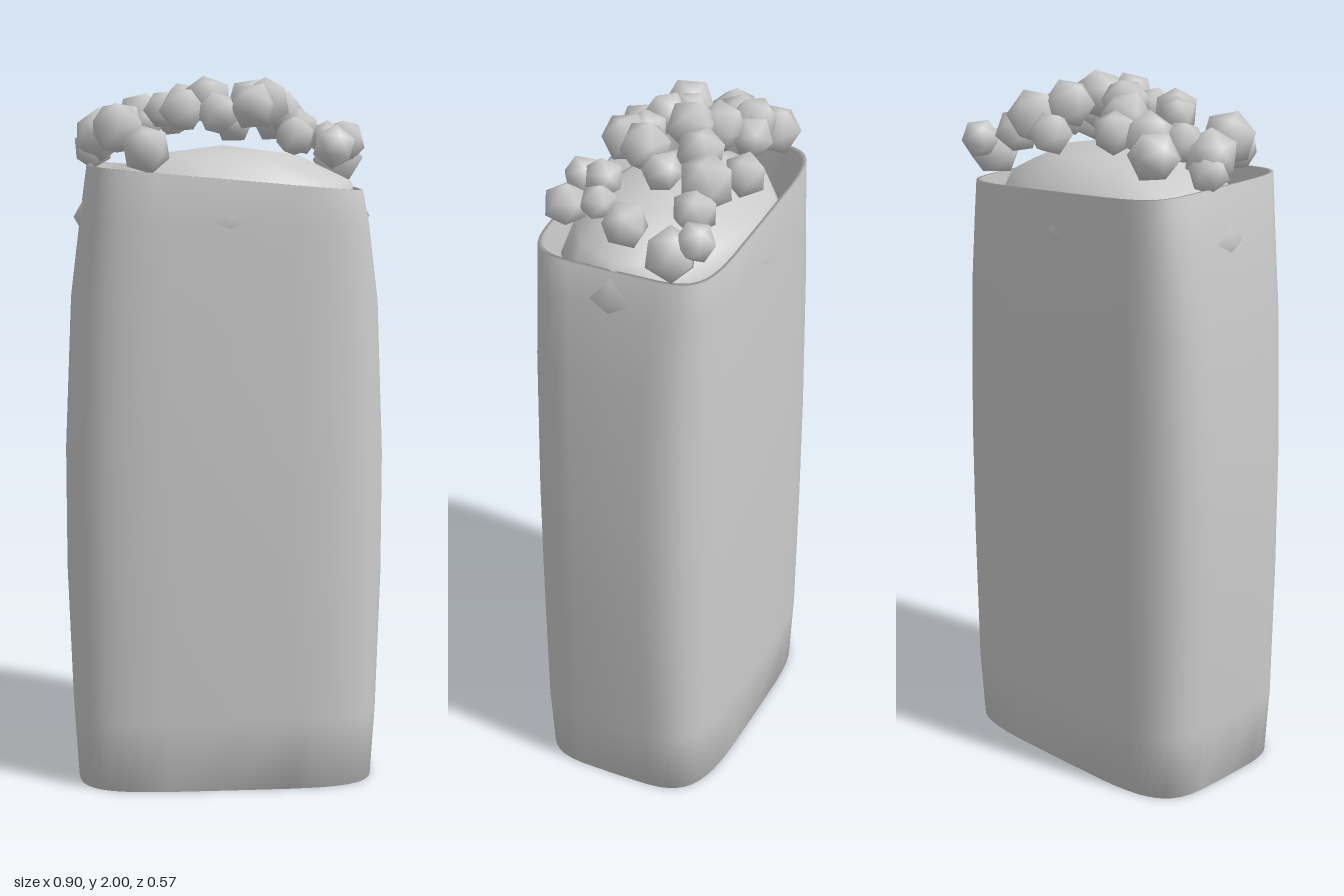
import * as THREE from 'three';

const grey = new THREE.MeshStandardMaterial({ color: 0xcccccc, side: THREE.DoubleSide });
grey.name = 'grey';

// Rows of the bag: [half width, half depth, height, squareness, rim tilt]
const ROWS = [
  [0.001, 0.001, 0.03, 4, 0],
  [0.36, 0.21, 0.03, 4, 0],
  [0.425, 0.27, 0, 4.5, 0],
  [0.437, 0.277, 0.2, 4.5, 0],
  [0.451, 0.284, 0.6, 4, 0],
  [0.451, 0.284, 0.95, 4, 0],
  [0.432, 0.279, 1.38, 4.3, 0],
  [0.403, 0.272, 1.6, 5, 0.02],
  [0.382, 0.267, 1.725, 6, 0.09],
  [0.37, 0.257, 1.725, 6, 0.09],
  [0.385, 0.258, 1.55, 5, 0.02],
];

// Open bag lofted through rounded-rectangle rings, with a folded-in lip
function bagGeometry(cols = 48) {
  const pos = [], index = [];
  const power = (v, n) => Math.sign(v) * Math.abs(v) ** (2 / n);
  ROWS.forEach(([a, b, y, n, tilt], i) => {
    for (let j = 0; j < cols; j++) {
      const t = (j / cols) * Math.PI * 2;
      const x = a * power(Math.cos(t), n), z = b * power(Math.sin(t), n);
      pos.push(x, y - tilt * x, z);
      if (i === ROWS.length - 1) continue;
      const p = i * cols + j, q = i * cols + (j + 1) % cols;
      index.push(p, p + cols, q, q, p + cols, q + cols);
    }
  });
  const g = new THREE.BufferGeometry();
  g.setAttribute('position', new THREE.Float32BufferAttribute(pos, 3));
  g.setIndex(index);
  g.computeVertexNormals();
  return g;
}

// Faceted kernel outline with smooth shading
function kernelGeometry() {
  const g = new THREE.IcosahedronGeometry(1, 0);
  g.setAttribute('normal', g.getAttribute('position').clone());
  return g;
}

// Kernels: [x, y, z, radius]
const KERNELS = [
  [0.05, 1.87, -0.225, 0.062], [0.09, 1.93, -0.115, 0.07], [0.17, 1.89, -0.17, 0.08],
  [0.24, 1.84, -0.17, 0.065], [0.34, 1.81, -0.22, 0.056], [0.35, 1.765, -0.155, 0.075],
  [0.35, 1.82, -0.025, 0.065], [0.18, 1.9, -0.05, 0.058], [0.12, 1.93, 0.03, 0.072],
];
const MORE_KERNELS = [
  [0.075, 1.92, 0.11, 0.068], [0.205, 1.86, 0.11, 0.056], [0.285, 1.83, 0.085, 0.052],
  [0.295, 1.81, 0.175, 0.062], [0.185, 1.84, 0.18, 0.058], [-0.02, 1.9, 0.095, 0.062],
  [-0.12, 1.91, 0.085, 0.065], [-0.17, 1.91, 0.035, 0.056], [-0.04, 1.935, -0.03, 0.073],
  [-0.1, 1.92, -0.09, 0.07], [-0.13, 1.89, -0.165, 0.062], [-0.225, 1.89, -0.13, 0.07],
  [-0.28, 1.85, -0.17, 0.072], [-0.28, 1.87, -0.06, 0.062], [-0.345, 1.84, -0.02, 0.076],
  [-0.365, 1.8, -0.05, 0.058], [-0.3, 1.86, 0.1, 0.078], [-0.225, 1.805, 0.21, 0.07],
  [-0.21, 1.87, -0.085, 0.05],
];

export function createModel() {
  const model = new THREE.Group();
  model.name = 'popcornBag';

  const bag = new THREE.Mesh(bagGeometry(), grey);
  bag.name = 'bag';
  model.add(bag);

  // Flattened ball filling the mouth; its tips poke through the sides
  const mound = new THREE.Mesh(new THREE.SphereGeometry(1, 12, 6), grey);
  mound.name = 'popcornMound';
  mound.scale.set(0.422, 0.2, 0.279);
  mound.position.y = 1.61;
  model.add(mound);

  // Loose kernels heaped on top, each turned differently
  const kernels = new THREE.Group();
  kernels.name = 'kernels';
  const shape = kernelGeometry();
  [...KERNELS, ...MORE_KERNELS].forEach(([x, y, z, r], i) => {
    const kernel = new THREE.Mesh(shape, grey);
    kernel.name = 'kernel' + (i + 1);
    kernel.position.set(x, y, z);
    kernel.rotation.set(i * 1.7, i * 2.3, i * 0.9);
    kernel.scale.setScalar(r);
    kernels.add(kernel);
  });
  model.add(kernels);
  return model;
}
